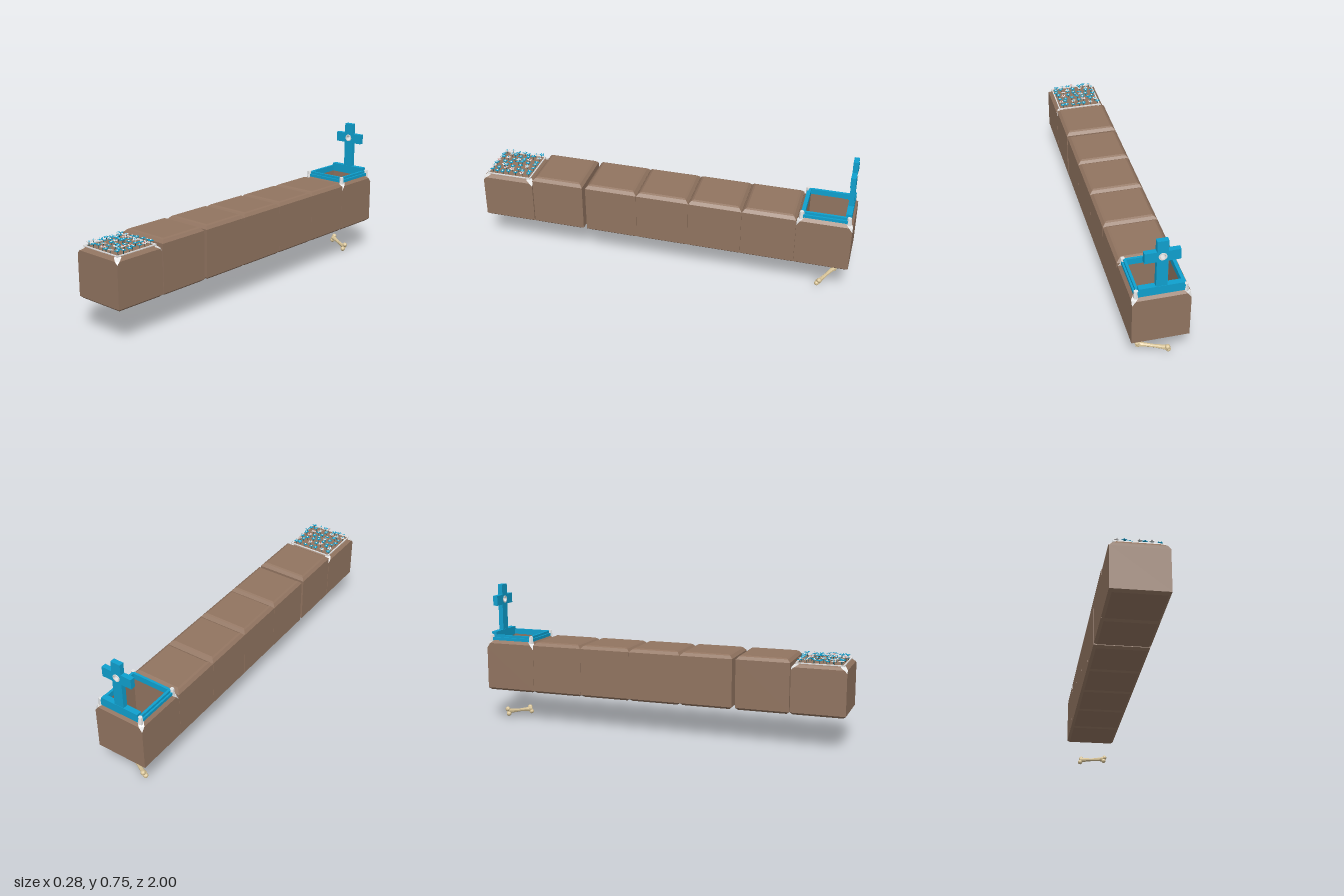
import * as THREE from 'three';

const mat = (name, color) => {
  const m = new THREE.MeshStandardMaterial({ color });
  m.name = name;
  return m;
};

// Flat facets for the low-poly parts
function facet(geo) {
  const g = geo.index ? geo.toNonIndexed() : geo;
  g.computeVertexNormals();
  return g;
}

// Stack of rectangles [y, halfX, halfZ, cornerCut]; corner faces are kept apart
function loft(rings, caps = true) {
  const main = [], corner = [];
  const outline = ([y, x, z, c = 0]) => [
    [x, y, c - z], [x, y, z - c], [x - c, y, z], [c - x, y, z],
    [-x, y, z - c], [-x, y, c - z], [c - x, y, -z], [x - c, y, -z]];
  const loops = rings.map(outline);
  for (let i = 0; i + 1 < loops.length; i++) {
    const lo = loops[i], hi = loops[i + 1];
    const cut = rings[i][3] || rings[i + 1][3];
    for (let j = 0; j < 8; j++) {
      if (j % 2 && !cut) continue;
      const k = (j + 1) % 8;
      const out = j % 2 ? corner : main;
      out.push(...lo[j], ...hi[j], ...hi[k], ...lo[j], ...hi[k], ...lo[k]);
    }
  }
  if (caps) {
    const b = loops[0], t = loops[loops.length - 1];
    for (let k = 1; k < 7; k++) {
      main.push(...b[0], ...b[k], ...b[k + 1], ...t[0], ...t[k + 1], ...t[k]);
    }
  }
  const build = (p) => {
    const g = new THREE.BufferGeometry();
    g.setAttribute('position', new THREE.Float32BufferAttribute(p, 3));
    g.computeVertexNormals();
    return g;
  };
  return { main: build(main), corner: corner.length ? build(corner) : null };
}

export function createModel() {
  const model = new THREE.Group();
  model.name = 'graveRow';
  const earth = mat('earth brown', 0x917460);
  const blue = mat('bright blue', 0x0fa0ce);
  const white = mat('pale stone', 0xe4e4e4);
  const boneMat = mat('bone', 0xd8c498);
  const stemMat = mat('dark teal', 0x1c5866);
  const red = mat('flower red', 0xb5544c);

  const add = (parent, name, geo, m, x = 0, y = 0, z = 0) => {
    const mesh = new THREE.Mesh(geo, m);
    mesh.name = name;
    mesh.position.set(x, y, z);
    parent.add(mesh);
    return mesh;
  };
  const box = (parent, name, w, h, d, x, y, z, m) =>
    add(parent, name, new THREE.BoxGeometry(w, h, d), m, x, y, z);

  // Earth blocks with bevelled tops and bottoms
  const H = 0.141;
  const base = [[0.175, H - 0.014, H - 0.014], [0.187, H, H]];
  const plain = loft([...base, [0.44, H, H], [0.455, H - 0.014, H - 0.014],
    [0.46, H - 0.024, H - 0.024]]).main;
  for (const z of [-0.576, -0.293, -0.01, 0.273, 0.573]) add(model, 'earthBlock', plain, earth, 0, 0, z);

  // Open grave: hollow block, stone corners, stepped blue kerb
  const grave = new THREE.Group();
  grave.name = 'openGrave';
  grave.position.z = -0.859;
  model.add(grave);
  const hollow = loft([...base, [0.415, H, H], [0.44, H, H, 0.018], [0.456, H - 0.014, H - 0.014, 0.022],
    [0.456, 0.105, 0.105], [0.2, 0.105, 0.105]]);
  add(grave, 'hollowBlock', hollow.main, earth);
  add(grave, 'stoneCorners', hollow.corner, white);
  const kerb = loft([[0.452, 0.127, 0.127], [0.472, 0.127, 0.127], [0.472, 0.118, 0.118],
    [0.485, 0.118, 0.118], [0.485, 0.105, 0.105], [0.452, 0.105, 0.105]], false);
  add(grave, 'kerb', kerb.main, blue);
  const post = facet(new THREE.CylinderGeometry(0.011, 0.014, 0.04, 6));
  for (const x of [-1, 1]) for (const z of [-1, 1]) {
    add(grave, 'cornerPost', post, white, x * 0.118, 0.467, z * 0.12);
  }

  // Cross with a round hole and pale ring
  const cross = new THREE.Group();
  cross.name = 'graveCross';
  cross.position.z = -0.973;
  model.add(cross);
  box(cross, 'crossFoot', 0.23, 0.033, 0.03, 0, 0.4695, 0, blue);
  box(cross, 'crossStep', 0.216, 0.02, 0.03, 0, 0.49, 0, blue);
  const s = new THREE.Shape([[-0.027, 0.5], [0.027, 0.5], [0.027, 0.642], [0.085, 0.642],
    [0.085, 0.697], [0.027, 0.697], [0.027, 0.755], [-0.027, 0.755], [-0.027, 0.697],
    [-0.085, 0.697], [-0.085, 0.642], [-0.027, 0.642]].map((p) => new THREE.Vector2(...p)));
  const hole = new THREE.Path();
  hole.absarc(0, 0.67, 0.017, 0, Math.PI * 2, true);
  s.holes.push(hole);
  add(cross, 'cross', new THREE.ExtrudeGeometry(s, { depth: 0.026, bevelEnabled: false, curveSegments: 8 }),
    blue, 0, 0, -0.013);
  const ringProfile = [[0.014, -0.016], [0.02, -0.016], [0.02, 0.016], [0.014, 0.016], [0.014, -0.016]]
    .map((p) => new THREE.Vector2(...p));
  add(cross, 'crossRing', facet(new THREE.LatheGeometry(ringProfile, 16)), white, 0, 0.67, 0)
    .rotation.x = Math.PI / 2;

  // Lower planted block with stone corners and rim
  const bed = new THREE.Group();
  bed.name = 'flowerBed';
  bed.position.z = 0.859;
  model.add(bed);
  const planted = loft([...base, [0.405, H, H], [0.42, H, H, 0.015],
    [0.432, H - 0.012, H - 0.012, 0.024], [0.437, H - 0.018, H - 0.018, 0.016]]);
  add(bed, 'plantedBlock', planted.main, earth);
  add(bed, 'stoneCorners', planted.corner, white);
  for (const d of [-1, 1]) {
    box(bed, 'bedRim', 0.24, 0.008, 0.006, 0, 0.438, d * 0.12, white);
    box(bed, 'bedRim', 0.006, 0.008, 0.24, d * 0.12, 0.438, 0, white);
  }

  // Flowers scattered on a jittered grid
  let seed = 11;
  const rnd = () => (seed = (seed * 16807) % 2147483647) / 2147483647;
  const star = new THREE.Shape(Array.from({ length: 10 }, (_, i) => {
    const r = i % 2 ? 0.007 : 0.0145, a = i * Math.PI / 5;
    return new THREE.Vector2(r * Math.cos(a), r * Math.sin(a));
  }));
  const petals = new THREE.ExtrudeGeometry(star, { depth: 0.003, bevelEnabled: false });
  petals.rotateX(-Math.PI / 2);
  const heart = facet(new THREE.CylinderGeometry(0.003, 0.005, 0.004, 6));
  const stem = new THREE.CylinderGeometry(0.0015, 0.0015, 0.024, 4);
  for (let i = 0; i < 49; i++) {
    const flower = new THREE.Group();
    flower.name = 'flower';
    const x = ((i % 7) - 3) * 0.034 + (rnd() - 0.5) * 0.018;
    const z = (Math.floor(i / 7) - 3) * 0.034 + (rnd() - 0.5) * 0.018;
    const lift = Math.hypot(x, z) < 0.03 ? 0.006 : 0;
    flower.position.set(x, 0.453 + rnd() * 0.005 + lift, z);
    flower.rotation.set((rnd() - 0.5) * 0.4, rnd() * 6, (rnd() - 0.5) * 0.4);
    const pale = rnd() < 0.45;
    add(flower, 'petals', petals, pale ? white : blue);
    add(flower, 'flowerHeart', heart, pale ? (rnd() < 0.4 ? red : blue) : white, 0, 0.004, 0);
    add(flower, 'stem', stem, stemMat, 0, -0.011, 0);
    bed.add(flower);
  }

  // Loose bone lying askew under the grave
  const bone = new THREE.Group();
  bone.name = 'bone';
  model.add(bone);
  const a = new THREE.Vector3(-0.065, 0.038, -0.922), b = new THREE.Vector3(0.07, 0.026, -0.85);
  const len = a.distanceTo(b);
  const shaftProfile = [[0, -0.5], [0.015, -0.5], [0.011, -0.3], [0.0085, 0], [0.011, 0.3], [0.015, 0.5], [0, 0.5]]
    .map(([r, t]) => new THREE.Vector2(r, t * len));
  const shaft = add(bone, 'boneShaft', facet(new THREE.LatheGeometry(shaftProfile, 8)), boneMat);
  shaft.position.copy(a).lerp(b, 0.5);
  shaft.quaternion.setFromUnitVectors(new THREE.Vector3(0, 1, 0), b.clone().sub(a).normalize());
  const knob = facet(new THREE.IcosahedronGeometry(0.0135, 1));
  for (const p of [[-0.061, 0.049, -0.928], [-0.068, 0.024, -0.918], [0.072, 0.037, -0.856], [0.066, 0.0135, -0.844]]) {
    add(bone, 'boneKnob', knob, boneMat, ...p);
  }
  return model;
}
